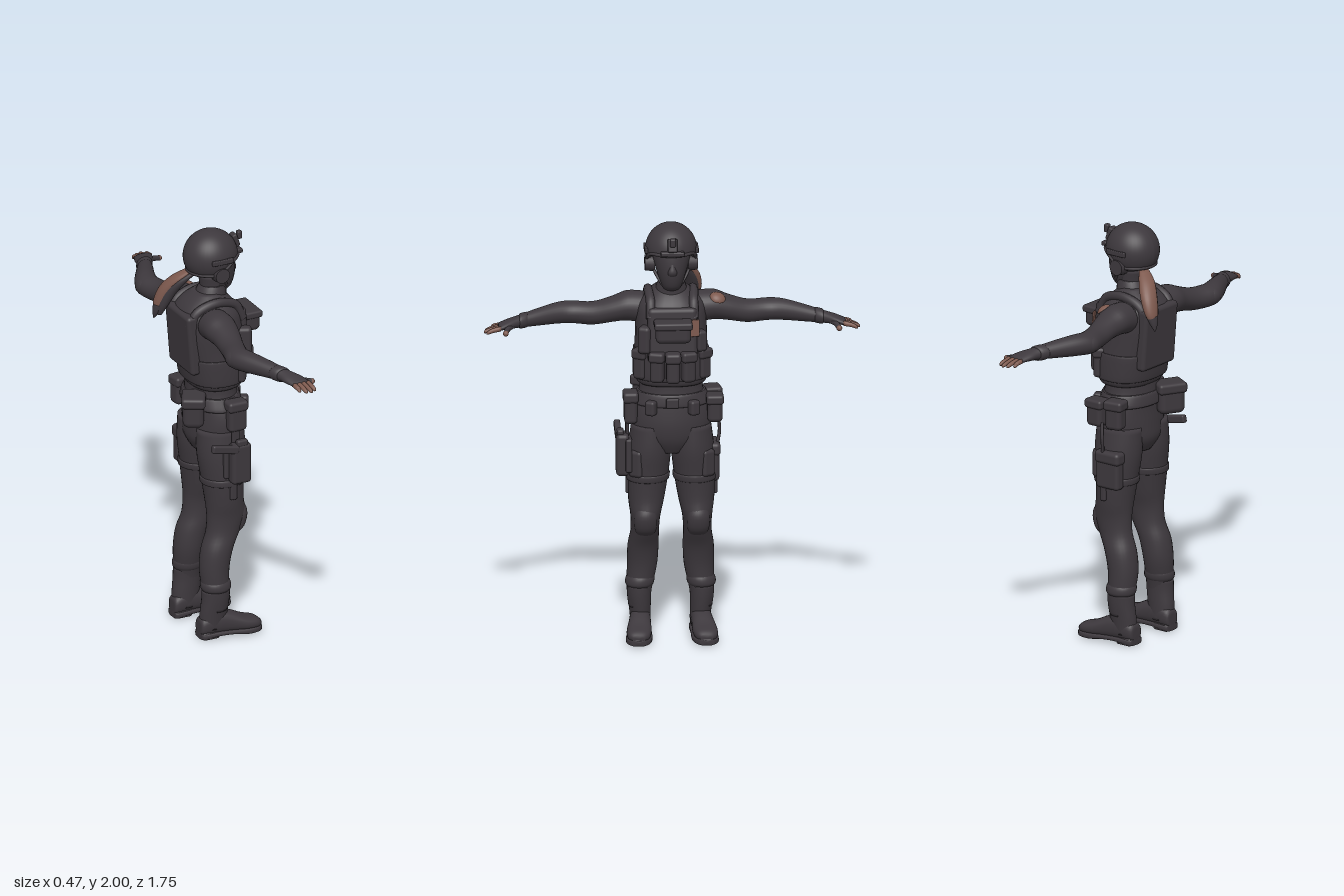
import * as THREE from 'three';
import { RoundedBoxGeometry } from 'three/addons/geometries/RoundedBoxGeometry.js';

const fabric = new THREE.MeshStandardMaterial({ color: 0x3d383d });
fabric.name = 'dark fabric';
fabric.side = THREE.DoubleSide;
const skin = new THREE.MeshStandardMaterial({ color: 0x7d594e });
skin.name = 'brown skin and hair';

// Smooth tube of rounded sections along one axis.
// Ring: [position on axis, centre a, centre b, radius a, radius b]
function loft(axis, rings, power = 1, steps = 4, sides = 28) {
  const at = (u) => {
    const i = Math.min(Math.floor(u), rings.length - 2), f = u - i;
    const r = (k) => rings[Math.max(0, Math.min(rings.length - 1, k))];
    return rings[0].map((_, c) => {
      const p0 = r(i - 1)[c], p1 = r(i)[c], p2 = r(i + 1)[c], p3 = r(i + 2)[c];
      return p1 + 0.5 * f * (p2 - p0 + f * (2 * p0 - 5 * p1 + 4 * p2 - p3 + f * (3 * (p1 - p2) + p3 - p0)));
    });
  };
  const place = { x: (t, a, b) => [t, a, b], y: (t, a, b) => [a, t, b], z: (t, a, b) => [a, b, t] }[axis];
  const pos = [], idx = [], count = (rings.length - 1) * steps + 1;
  const round = (v) => Math.sign(v) * Math.abs(v) ** power;
  for (let i = 0; i < count; i++) {
    const [t, a, b, ra, rb] = at(i / steps);
    for (let j = 0; j < sides; j++) {
      const q = (j / sides) * Math.PI * 2;
      pos.push(...place(t, a + ra * round(Math.cos(q)), b + rb * round(Math.sin(q))));
    }
  }
  for (let i = 0; i < count - 1; i++) for (let j = 0; j < sides; j++) {
    const k = (j + 1) % sides, a = i * sides + j, b = i * sides + k;
    idx.push(a, a + sides, b, b, a + sides, b + sides);
  }
  // end caps
  for (const [i, first] of [[0, true], [count - 1, false]]) {
    const [t, a, b] = at(i / steps), c = pos.length / 3, o = i * sides;
    pos.push(...place(t, a, b));
    for (let j = 0; j < sides; j++) {
      const k = (j + 1) % sides;
      if (first) idx.push(c, o + j, o + k); else idx.push(c, o + k, o + j);
    }
  }
  // turn the faces outward
  let volume = 0;
  const v = (i) => new THREE.Vector3().fromArray(pos, idx[i] * 3);
  for (let i = 0; i < idx.length; i += 3) volume += v(i).dot(v(i + 1).cross(v(i + 2)));
  if (volume < 0) idx.reverse();
  const g = new THREE.BufferGeometry();
  g.setAttribute('position', new THREE.Float32BufferAttribute(pos, 3));
  g.setIndex(idx);
  g.computeVertexNormals();
  return g;
}

export function createModel() {
  const model = new THREE.Group();
  model.name = 'equippedFigure';
  const add = (name, geometry, material = fabric) => {
    const m = new THREE.Mesh(geometry, material);
    m.name = name;
    model.add(m);
    return m;
  };
  const box = (name, x, y, z, w, h, d, ry = 0, rz = 0, mat = fabric) => {
    const m = add(name, new RoundedBoxGeometry(w, h, d, 3, Math.min(w, h, d) * 0.3), mat);
    m.position.set(x, y, z);
    m.rotation.set(0, ry, rz);
    return m;
  };
  const pouch = (name, x, y, z, w, h, d, ry = 0) => {
    box(name, x, y, z, w, h, d, ry);
    box(name + 'Flap', x, y + h * 0.34, z, w + 0.012, h * 0.34, d + 0.012, ry);
  };
  const tube = (name, points, r, closed = false) => add(name, new THREE.TubeGeometry(
    new THREE.CatmullRomCurve3(points.map((p) => new THREE.Vector3(...p)), closed), 40, r, 8, closed));

  // Trunk
  add('pelvis', loft('y', [[0.91, 0.01, 0, 0.09, 0.09], [0.97, 0.01, 0, 0.12, 0.165], [1.04, 0.015, 0, 0.125, 0.185],
    [1.12, 0.015, 0, 0.12, 0.178], [1.2, 0.01, 0, 0.115, 0.15], [1.28, 0.01, 0, 0.11, 0.145]]));
  add('belt', loft('y', [[1.14, 0.01, 0, 0.128, 0.18], [1.15, 0.01, 0, 0.132, 0.184], [1.19, 0.01, 0, 0.127, 0.165], [1.2, 0.01, 0, 0.12, 0.16]]));
  box('buckle', 0.143, 1.165, 0, 0.02, 0.045, 0.06);
  add('vest', loft('y', [[1.24, 0.015, 0, 0.115, 0.15], [1.26, 0.015, 0, 0.127, 0.165], [1.34, 0.01, 0, 0.137, 0.172],
    [1.44, 0, 0, 0.15, 0.168], [1.54, -0.01, 0, 0.155, 0.165], [1.61, -0.015, 0, 0.145, 0.155],
    [1.66, -0.015, 0, 0.11, 0.115], [1.7, -0.01, 0, 0.06, 0.07]], 0.85));
  box('chestPlate', 0.115, 1.49, 0, 0.07, 0.26, 0.23, 0, 0.06);
  box('backPlate', -0.13, 1.48, 0, 0.06, 0.3, 0.24, 0, 0.08);
  add('cummerbund', loft('y', [[1.27, 0.012, 0, 0.13, 0.168], [1.28, 0.012, 0, 0.14, 0.178], [1.39, 0.005, 0, 0.148, 0.178], [1.4, 0.005, 0, 0.14, 0.17]], 0.85));
  add('collar', loft('y', [[1.63, 0, 0, 0.09, 0.095], [1.67, 0.005, 0, 0.078, 0.08], [1.71, 0.015, 0, 0.068, 0.066], [1.73, 0.02, 0, 0.06, 0.058]]));
  pouch('chestPouch', 0.19, 1.525, 0, 0.085, 0.1, 0.165);
  for (let i = -2; i <= 2; i++) {
    const a = i * 0.3;
    pouch('magazinePouch', 0.175 - 0.022 * i * i, 1.345, -i * 0.072, 0.06, 0.145, 0.062, a);
  }
  box('radioPouch', 0.12, 1.47, 0.125, 0.07, 0.13, 0.06, -0.4);
  box('sidePouch', 0.11, 1.46, -0.13, 0.06, 0.1, 0.05, 0.4);

  // Head and mask
  add('maskedHead', loft('y', [[1.69, 0.045, 0, 0.035, 0.035], [1.71, 0.055, 0, 0.055, 0.045], [1.75, 0.05, 0, 0.075, 0.06],
    [1.8, 0.04, 0, 0.09, 0.075], [1.86, 0.025, 0, 0.1, 0.09], [1.92, 0.01, 0, 0.1, 0.09], [1.96, 0.01, 0, 0.06, 0.06]]));
  add('neck', loft('y', [[1.62, 0, 0, 0.06, 0.06], [1.7, 0.015, 0, 0.055, 0.053], [1.78, 0.01, 0, 0.06, 0.058]]));
  add('nose', loft('y', [[1.765, 0.115, 0, 0.008, 0.014], [1.79, 0.122, 0, 0.018, 0.022], [1.82, 0.118, 0, 0.014, 0.014], [1.85, 0.112, 0, 0.01, 0.008]]));

  // Helmet: a dome whose rim rises over the face
  const dome = new THREE.SphereGeometry(1, 40, 24, 0, Math.PI * 2, 0, Math.PI * 0.68);
  const rim = (x) => 1.81 + 0.065 * THREE.MathUtils.smoothstep(x, -0.02, 0.1);
  const dp = dome.attributes.position;
  for (let i = 0; i < dp.count; i++) {
    const x = 0.008 + dp.getX(i) * 0.13;
    dp.setXYZ(i, x, Math.max(rim(x), 1.875 + dp.getY(i) * 0.125), dp.getZ(i) * 0.12);
  }
  dome.computeVertexNormals();
  add('helmet', dome);
  const rimPoints = [];
  for (let i = 0; i < 24; i++) {
    const q = (i / 24) * Math.PI * 2, x = 0.008 + 0.13 * Math.cos(q), y = rim(x);
    const r = Math.sqrt(1 - ((y - 1.875) / 0.125) ** 2);
    rimPoints.push([0.008 + 0.13 * r * Math.cos(q), y, 0.121 * r * Math.sin(q)]);
  }
  tube('helmetRim', rimPoints, 0.008, true);
  box('brim', 0.137, 1.885, 0, 0.03, 0.022, 0.11);
  box('opticMountPlate', 0.135, 1.925, 0, 0.025, 0.065, 0.045, 0, 0.3);
  box('opticMountArm', 0.158, 1.945, 0, 0.025, 0.04, 0.028);

  for (const s of [1, -1]) {
    box('helmetRail', 0.015, 1.88, s * 0.118, 0.11, 0.025, 0.016);
    const ear = add('earPod', new THREE.CylinderGeometry(0.036, 0.042, 0.045, 20));
    ear.position.set(0.012, 1.81, s * 0.1);
    ear.rotation.x = s * Math.PI / 2;
    tube('chinStrap', [[0.02, 1.84, s * 0.095], [0.045, 1.77, s * 0.075], [0.08, 1.71, s * 0.03], [0.088, 1.7, 0]], 0.007);
    tube('shoulderStrap', [[0.125, 1.57, s * 0.1], [0.085, 1.645, s * 0.1], [-0.015, 1.672, s * 0.105], [-0.11, 1.64, s * 0.1], [-0.15, 1.57, s * 0.095]], 0.022);

    // Arm, cuff and glove
    add('arm', loft('z', [[0.12, -0.04, 1.58, 0.08, 0.075], [0.2, -0.045, 1.588, 0.08, 0.07], [0.27, -0.045, 1.572, 0.068, 0.06],
      [0.36, -0.058, 1.55, 0.058, 0.054], [0.45, -0.08, 1.55, 0.06, 0.052], [0.52, -0.064, 1.552, 0.055, 0.05],
      [0.62, -0.015, 1.547, 0.045, 0.04], [0.7, 0.025, 1.541, 0.036, 0.03], [0.76, 0.052, 1.535, 0.047, 0.022],
      [0.805, 0.068, 1.527, 0.045, 0.015]].map(([z, ...r]) => [s * z, ...r])));
    add('elbowPad', new THREE.SphereGeometry(1, 16, 12)).position.set(-0.1, 1.55, s * 0.455);
    model.children.at(-1).scale.set(0.042, 0.044, 0.055);
    add('gloveCuff', loft('z', [[0.665, 0.008, 1.543, 0.034, 0.03], [0.672, 0.011, 1.543, 0.042, 0.036], [0.7, 0.024, 1.541, 0.041, 0.035],
      [0.707, 0.027, 1.54, 0.033, 0.028]].map(([z, ...r]) => [s * z, ...r])));
    [0.846, 0.868, 0.873, 0.862].forEach((tip, i) => {
      const x = 0.034 + i * 0.023;
      add('finger', loft('z', [[0.795, x, 1.527, 0.012, 0.012], [0.83, x + 0.004, 1.521, 0.011, 0.011],
        [tip - 0.008, x + 0.008, 1.512, 0.009, 0.009], [tip, x + 0.009, 1.508, 0.003, 0.003]].map(([z, ...r]) => [s * z, ...r]), 1, 3, 10), skin);
    });
    tube('thumb', [[0.06, 1.53, s * 0.735], [0.1, 1.525, s * 0.762], [0.138, 1.515, s * 0.774]], 0.013);
    const tip = add('thumbTip', new THREE.SphereGeometry(0.0135, 12, 8), skin);
    tip.position.set(0.14, 1.515, s * 0.774);

    // Trouser leg
    const side = (rings) => rings.map(([y, x, z, a, b]) => [y, x, s * z, a, b]);
    add('leg', loft('y', side([[0.14, -0.04, 0.145, 0.058, 0.05], [0.22, -0.037, 0.145, 0.064, 0.058], [0.34, -0.04, 0.132, 0.071, 0.07],
      [0.44, -0.023, 0.128, 0.077, 0.072], [0.52, 0.01, 0.122, 0.084, 0.066], [0.6, 0.028, 0.12, 0.096, 0.07],
      [0.68, 0.02, 0.116, 0.093, 0.084], [0.8, 0.014, 0.108, 0.103, 0.096], [0.92, 0.012, 0.1, 0.118, 0.1], [1.04, 0.01, 0.095, 0.115, 0.09]])));
    add('kneePatch', loft('y', side([[0.5, 0.055, 0.122, 0.02, 0.03], [0.54, 0.08, 0.122, 0.036, 0.05], [0.61, 0.09, 0.122, 0.04, 0.052], [0.67, 0.075, 0.12, 0.025, 0.035]])));
    add('trouserCuff', loft('y', side([[0.235, -0.037, 0.145, 0.06, 0.054], [0.25, -0.037, 0.144, 0.072, 0.066], [0.275, -0.038, 0.141, 0.072, 0.067], [0.295, -0.038, 0.138, 0.062, 0.058]])));
    add('thighStrap', loft('y', side([[0.77, 0.014, 0.11, 0.1, 0.094], [0.775, 0.014, 0.11, 0.107, 0.101], [0.8, 0.014, 0.108, 0.109, 0.102], [0.805, 0.014, 0.108, 0.102, 0.095]])));
    box('frontPocket', 0.08, 0.86, s * 0.16, 0.06, 0.13, 0.07, s * -0.6);

    // Boot
    add('bootShaft', loft('y', side([[0.05, -0.055, 0.138, 0.062, 0.046], [0.12, -0.048, 0.141, 0.068, 0.05], [0.19, -0.04, 0.145, 0.068, 0.055], [0.24, -0.038, 0.145, 0.068, 0.058]])));
    const foot = [[-0.122, 0.055, 0.135, 0.028, 0.026], [-0.11, 0.062, 0.136, 0.046, 0.042], [-0.04, 0.076, 0.14, 0.06, 0.048],
      [0.03, 0.068, 0.146, 0.052, 0.052], [0.1, 0.052, 0.153, 0.036, 0.058], [0.155, 0.045, 0.157, 0.027, 0.05], [0.18, 0.04, 0.158, 0.014, 0.028]];
    add('bootFoot', loft('x', foot.map(([x, y, z, a, b]) => [x, y, s * z, a, b]), 0.85));
    add('bootSole', loft('x', foot.map(([x, , z, , b], i) => [x, i > 1 && i < 4 ? 0.024 : 0.019, s * z, i > 1 && i < 4 ? 0.012 : 0.016, b + 0.004]), 0.5));
    box('bootHeel', -0.075, 0.02, s * 0.138, 0.085, 0.04, 0.086);
  }

  // Ponytail, with a dark inner side and tip
  const tail = [[1.58, -0.21, -0.12, 0.012, 0.016], [1.63, -0.195, -0.118, 0.028, 0.036], [1.7, -0.165, -0.1, 0.036, 0.044],
    [1.76, -0.125, -0.065, 0.034, 0.04], [1.8, -0.085, -0.035, 0.02, 0.025]];
  add('ponytail', loft('y', tail), skin);
  add('ponytailUnderside', loft('y', tail.map(([y, x, z, a, b]) => [y - 0.008, x + 0.008, z + 0.012, a, b])));
  add('ponytailTip', loft('y', [[1.55, -0.222, -0.125, 0.003, 0.004], [1.585, -0.21, -0.12, 0.018, 0.022], [1.62, -0.198, -0.118, 0.026, 0.034]]));

  // Bare patches on one shoulder and beside the chest pouch
  const patch = add('shoulderPatch', new THREE.SphereGeometry(1, 16, 8, 0, Math.PI * 2, 0, 1.2), skin);
  patch.position.set(0.002, 1.625, -0.215);
  patch.scale.set(0.036, 0.028, 0.04);
  patch.rotation.set(-0.25, 0, -0.6);
  box('chestPatch', 0.151, 1.53, -0.102, 0.008, 0.08, 0.045, 0.25, 0.06, skin);

  // Belt gear
  pouch('backPouch', -0.13, 1.155, 0.1, 0.1, 0.15, 0.13, -0.5);
  pouch('hipPouch', 0.045, 1.125, 0.19, 0.09, 0.15, 0.06);
  pouch('utilityPouch', 0.06, 1.12, -0.2, 0.085, 0.13, 0.07);
  pouch('utilityPouch', -0.045, 1.125, -0.195, 0.085, 0.14, 0.07, 0.15);
  box('beltClip', 0.13, 1.14, 0.1, 0.045, 0.07, 0.05, -0.5);
  box('beltClip', 0.13, 1.14, -0.1, 0.045, 0.07, 0.05, 0.5);
  tube('hangingStrap', [[0.02, 1.08, -0.215], [0.01, 1.0, -0.225], [0.015, 0.93, -0.215]], 0.008);

  // Thigh holster with sidearm, and cargo pocket on the other side
  box('holster', 0.045, 0.9, 0.228, 0.1, 0.2, 0.06);
  box('holsterPlate', 0.04, 0.9, 0.2, 0.13, 0.16, 0.03);
  box('holsterStrap', 0.035, 1.02, 0.205, 0.04, 0.14, 0.016);
  box('holsterMuzzle', 0.025, 0.755, 0.2, 0.035, 0.1, 0.025);
  box('sidearmSlide', 0.05, 0.995, 0.238, 0.055, 0.05, 0.032);
  box('sidearmGrip', -0.04, 0.99, 0.245, 0.14, 0.038, 0.03, 0, -0.2);
  pouch('cargoPocket', -0.01, 0.85, -0.195, 0.13, 0.18, 0.055);
  box('cargoStrap', 0.02, 0.735, -0.2, 0.03, 0.08, 0.03);
  return model;
}
